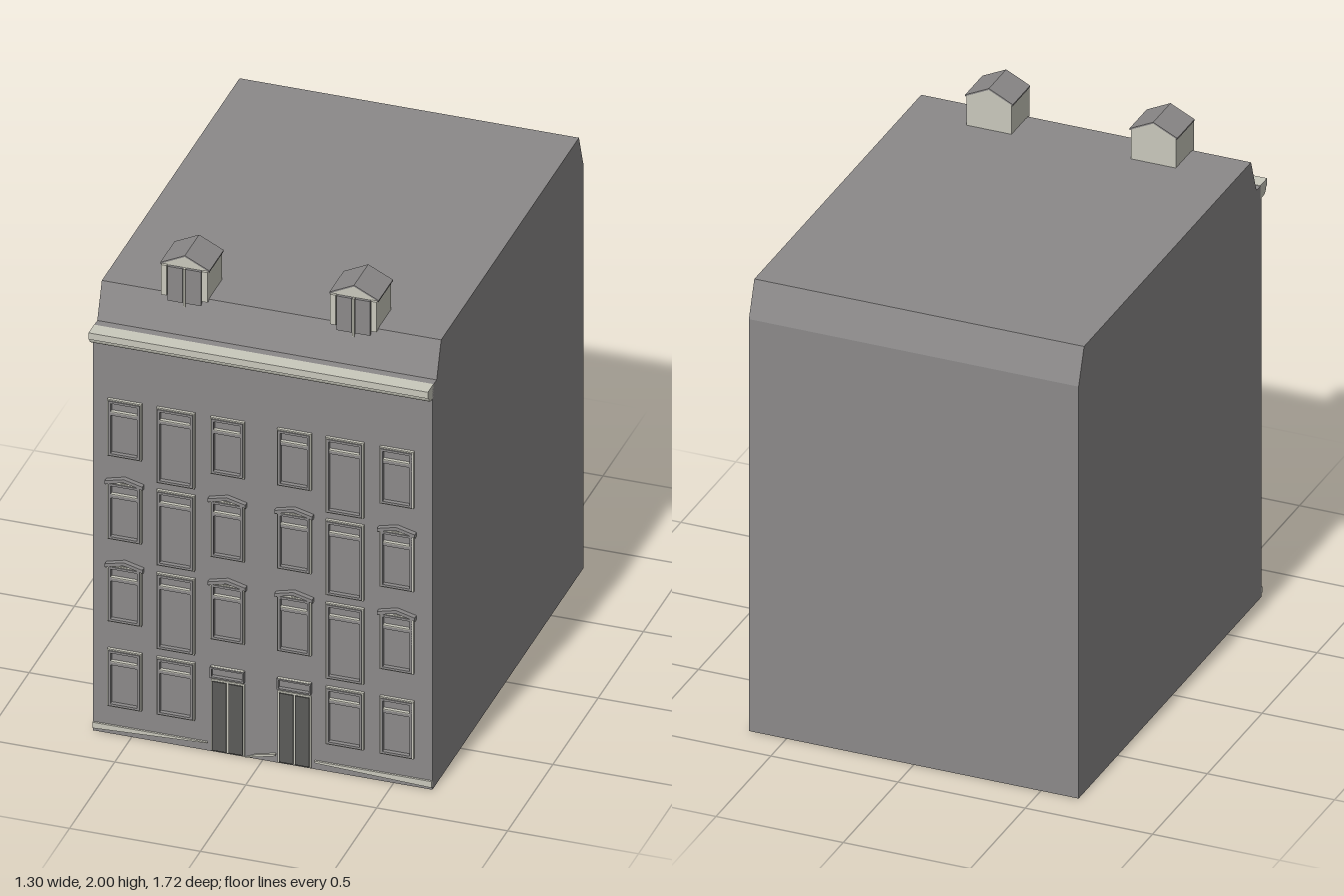
import * as THREE from 'three';

const mat = (name, color) => {
  const m = new THREE.MeshStandardMaterial({ color });
  m.name = name;
  return m;
};

const WALL_Z = 0.812; // plane of the street facade

export function createModel() {
  const stone = mat('grey stone', 0x8b8989);
  const trim = mat('pale trim', 0xc9c8bc);
  const dark = mat('dark door', 0x5b5b59);
  const house = new THREE.Group();
  house.name = 'townhouse';

  const add = (parent, name, geo, material) => {
    const mesh = new THREE.Mesh(geo, material);
    mesh.name = name;
    parent.add(mesh);
    return mesh;
  };
  // Box given by its limits
  const box = (parent, name, m, x0, x1, y0, y1, z0, z1) => {
    const mesh = add(parent, name, new THREE.BoxGeometry(x1 - x0, y1 - y0, z1 - z0), m);
    mesh.position.set((x0 + x1) / 2, (y0 + y1) / 2, (z0 + z1) / 2);
    return mesh;
  };
  const polygon = (pts) => new THREE.Shape(pts.map(([x, y]) => new THREE.Vector2(x, y)));
  const extrude = (shape, depth) => new THREE.ExtrudeGeometry(shape, { depth, bevelEnabled: false, curveSegments: 6 });
  // Profile in (z, y), run along the full width of the house
  const acrossWidth = (shape, width) => extrude(shape, width).translate(0, 0, -width / 2).rotateY(-Math.PI / 2);
  // Rectangular ring standing in the facade
  const ring = (w, h, t, depth) => {
    const s = polygon([[-w / 2, 0], [w / 2, 0], [w / 2, h], [-w / 2, h]]);
    s.holes.push(new THREE.Path([[-w / 2 + t, t], [-w / 2 + t, h - t], [w / 2 - t, h - t], [w / 2 - t, t]]
      .map(([x, y]) => new THREE.Vector2(x, y))));
    return extrude(s, depth);
  };

  // Block with sloping roof edges at front and back
  add(house, 'building', acrossWidth(polygon([
    [-0.857, 0], [WALL_Z, 0], [WALL_Z, 1.69], [0.765, 1.69],
    [0.715, 1.83], [-0.807, 1.83], [-0.857, 1.69],
  ]), 1.296), stone);

  // Cornice with a rounded underside
  const cornice = new THREE.Shape();
  cornice.moveTo(0.80, 1.637);
  cornice.lineTo(0.825, 1.637);
  cornice.quadraticCurveTo(0.85, 1.638, 0.853, 1.662);
  cornice.lineTo(0.862, 1.665);
  cornice.lineTo(0.862, 1.692);
  cornice.lineTo(0.80, 1.692);
  add(house, 'cornice', acrossWidth(cornice, 1.296), trim);

  // Pale wedges of the plinth
  for (const pts of [
    [[-0.648, 0.014], [-0.21, 0.034], [-0.21, 0.038], [-0.648, 0.038]],
    [[-0.065, 0.002], [0.05, 0.03], [0.05, 0.038], [-0.02, 0.024]],
    [[0.2, 0.03], [0.648, 0.012], [0.648, 0.038], [0.2, 0.038]],
  ]) {
    add(house, 'plinth', extrude(polygon(pts), 0.008), trim).position.z = WALL_Z;
  }

  // Sash window: pale outline, grey sash and transom
  const addWindow = (x, w, y0, y1, hooded) => {
    const g = new THREE.Group();
    g.name = 'window';
    g.position.set(x, y0, WALL_Z);
    const h = y1 - y0;
    add(g, 'windowOutline', ring(w, h, 0.005, 0.012), trim);
    const sash = add(g, 'windowSash', ring(w - 0.01, h - 0.01, 0.009, 0.017), stone);
    sash.position.y = 0.005;
    const t = h - 0.065;
    box(g, 'transom', stone, -w / 2 + 0.012, w / 2 - 0.012, t, t + 0.012, 0, 0.014);
    box(g, 'transomLine', trim, -w / 2 + 0.012, w / 2 - 0.012, t + 0.012, t + 0.016, 0, 0.014);
    if (hooded) {
      const a = w / 2 + 0.007;
      const hood = (lift, thick) => polygon([
        [-a, h - 0.012 + lift], [-a * 0.6, h - 0.004 + lift], [0, h + 0.006 + lift],
        [a * 0.6, h - 0.004 + lift], [a, h - 0.012 + lift], [a, h - 0.012 + lift + thick],
        [0, h + 0.006 + lift + thick], [-a, h - 0.012 + lift + thick],
      ]);
      add(g, 'windowHood', extrude(hood(0.004, 0.014), 0.02), stone);
      add(g, 'windowHoodLine', extrude(hood(0, 0.004), 0.015), trim);
    }
    house.add(g);
  };

  // Window bays: [centre, width, tall middle bay, above a door]
  const bays = [
    [-0.525, 0.13, false, false], [-0.33, 0.145, true, false], [-0.132, 0.13, false, true],
    [0.123, 0.13, false, true], [0.316, 0.145, true, false], [0.515, 0.13, false, false],
  ];
  // Floors: [sill, sill of tall bay, top, hooded]
  const floors = [
    [0.12, 0.12, 0.36, false], [0.475, 0.395, 0.712, true],
    [0.82, 0.745, 1.06, true], [1.168, 1.09, 1.405, false],
  ];
  for (const [x, w, tall, overDoor] of bays) {
    floors.forEach(([y0, yTall, y1, hooded], i) => {
      if (i === 0 && overDoor) return;
      addWindow(x, w, tall ? yTall : y0, y1, hooded && !tall);
    });
  }

  // Double doors with a fanlight above
  for (const x of [-0.132, 0.123]) {
    const g = new THREE.Group();
    g.name = 'door';
    g.position.set(x, 0, WALL_Z);
    box(g, 'doorFrame', trim, -0.064, 0.064, 0.005, 0.305, 0, 0.005);
    for (const s of [-1, 1]) {
      const c = s * 0.031;
      box(g, 'doorLeaf', dark, c - 0.027, c + 0.027, 0.01, 0.298, 0, 0.01);
    }
    add(g, 'fanlight', ring(0.13, 0.045, 0.006, 0.016), stone).position.y = 0.315;
    box(g, 'fanlightLine', trim, -0.062, 0.062, 0.357, 0.361, 0, 0.012);
    house.add(g);
  }

  // Gabled dormers
  for (const x of [-0.328, 0.318]) {
    const g = new THREE.Group();
    g.name = 'dormer';
    g.position.x = x;
    add(g, 'dormerBody', extrude(polygon([
      [-0.088, 1.82], [0.088, 1.82], [0.088, 1.951], [0, 1.994], [-0.088, 1.951],
    ]), 0.153).translate(0, 0, 0.568), trim);
    add(g, 'dormerRoof', extrude(polygon([
      [-0.094, 1.948], [0, 1.994], [0.094, 1.948], [0.094, 1.954], [0, 2.0], [-0.094, 1.954],
    ]), 0.158).translate(0, 0, 0.566), stone);
    for (const s of [-1, 1]) {
      const c = s * 0.078;
      box(g, 'dormerPilaster', trim, c - 0.011, c + 0.011, 1.825, 1.95, 0.70, 0.732);
      const d = s * 0.035;
      box(g, 'dormerShutter', stone, d - 0.029, d + 0.029, 1.805, 1.948, 0.70, 0.732);
    }
    box(g, 'dormerMullion', trim, -0.004, 0.004, 1.79, 1.948, 0.70, 0.734);
    house.add(g);
  }
  return house;
}
